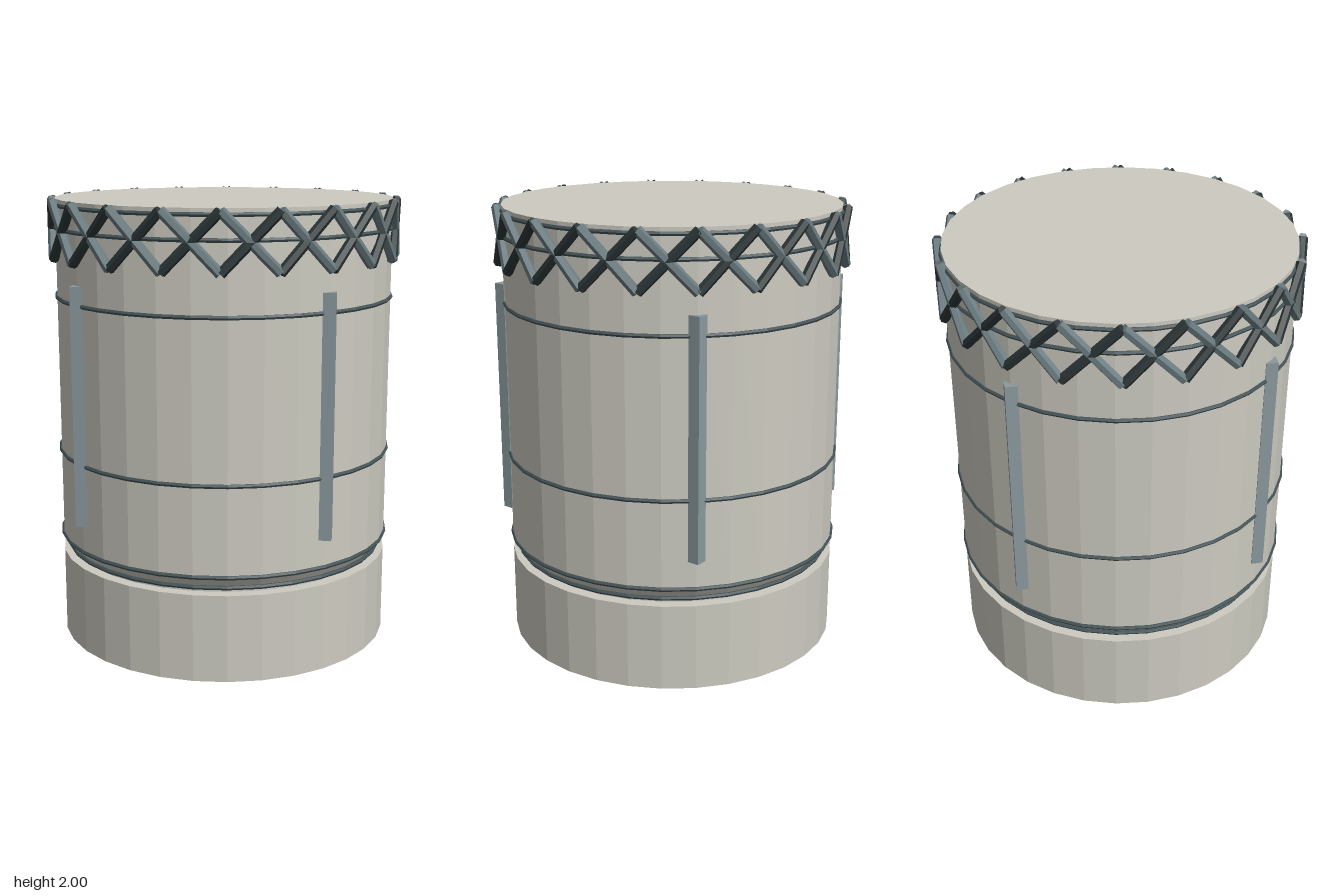
import * as THREE from 'three';

const SIDES = 32;
const NODES = 20;

const paint = (name, color) => {
  const m = new THREE.MeshStandardMaterial({ color, flatShading: true });
  m.name = name;
  return m;
};

export function createModel() {
  const group = new THREE.Group();
  const stone = paint('warm grey', 0xcccac0);
  const steel = paint('steel grey', 0x8a999e);
  const slate = paint('dark slate', 0x455458);
  const strutLight = paint('strut grey', 0x6a7b80);
  const strutDark = paint('strut charcoal', 0x2c3638);
  const black = paint('near black', 0x1c2224);

  const add = (name, geometry, material, y = 0) => {
    const mesh = new THREE.Mesh(geometry, material);
    mesh.name = name;
    mesh.position.y = y;
    group.add(mesh);
    return mesh;
  };
  const polar = (angle, r, y) =>
    new THREE.Vector3(r * Math.sin(angle), y, r * Math.cos(angle));

  // Base drum, tapered neck and main drum as one closed profile
  const profile = [
    [0, 0.003], [0.75, 0.003], [0.75, 0.39], [0.70, 0.39],
    [0.70, 0.40], [0.75, 0.47], [0.75, 1.99], [0, 1.99],
  ].map(([r, y]) => new THREE.Vector2(r, y));
  add('drum', new THREE.LatheGeometry(profile, SIDES), stone);

  // Dark opening under the base
  const opening = add('bottomOpening', new THREE.CircleGeometry(0.39, SIDES), black);
  opening.rotation.x = Math.PI / 2;

  // Thin hoops around the drum
  for (const [r, y] of [[0.72, 0.415], [0.75, 0.47], [0.75, 0.865],
    [0.75, 1.56], [0.75, 1.865], [0.75, 1.965]]) {
    const hoop = add('hoop', new THREE.TorusGeometry(r, 0.01, 6, SIDES), slate, y);
    hoop.rotation.x = Math.PI / 2;
  }

  // Four upright diamond-section rails
  const railGeometry = new THREE.CylinderGeometry(0.037, 0.037, 1.05, 4);
  for (let i = 0; i < 4; i++) {
    const rail = add('rail', railGeometry, steel);
    rail.position.copy(polar((i * Math.PI) / 2, 0.75, 1.12));
  }

  // Crossed struts forming the lattice collar
  const up = new THREE.Vector3(0, 1, 0);
  const step = (Math.PI * 2) / NODES;
  const addStrut = (from, to, material) => {
    const dir = to.clone().sub(from);
    const strut = add('latticeStrut',
      new THREE.CylinderGeometry(0.022, 0.022, dir.length(), 6), material);
    strut.position.copy(from).add(to).multiplyScalar(0.5);
    strut.quaternion.setFromUnitVectors(up, dir.normalize());
  };
  for (let i = 0; i < NODES; i++) {
    const a = i * step, b = a + step;
    addStrut(polar(a, 0.768, 1.735), polar(b, 0.768, 1.98), strutDark);
    addStrut(polar(b, 0.768, 1.735), polar(a, 0.768, 1.98), strutLight);
  }
  return group;
}
